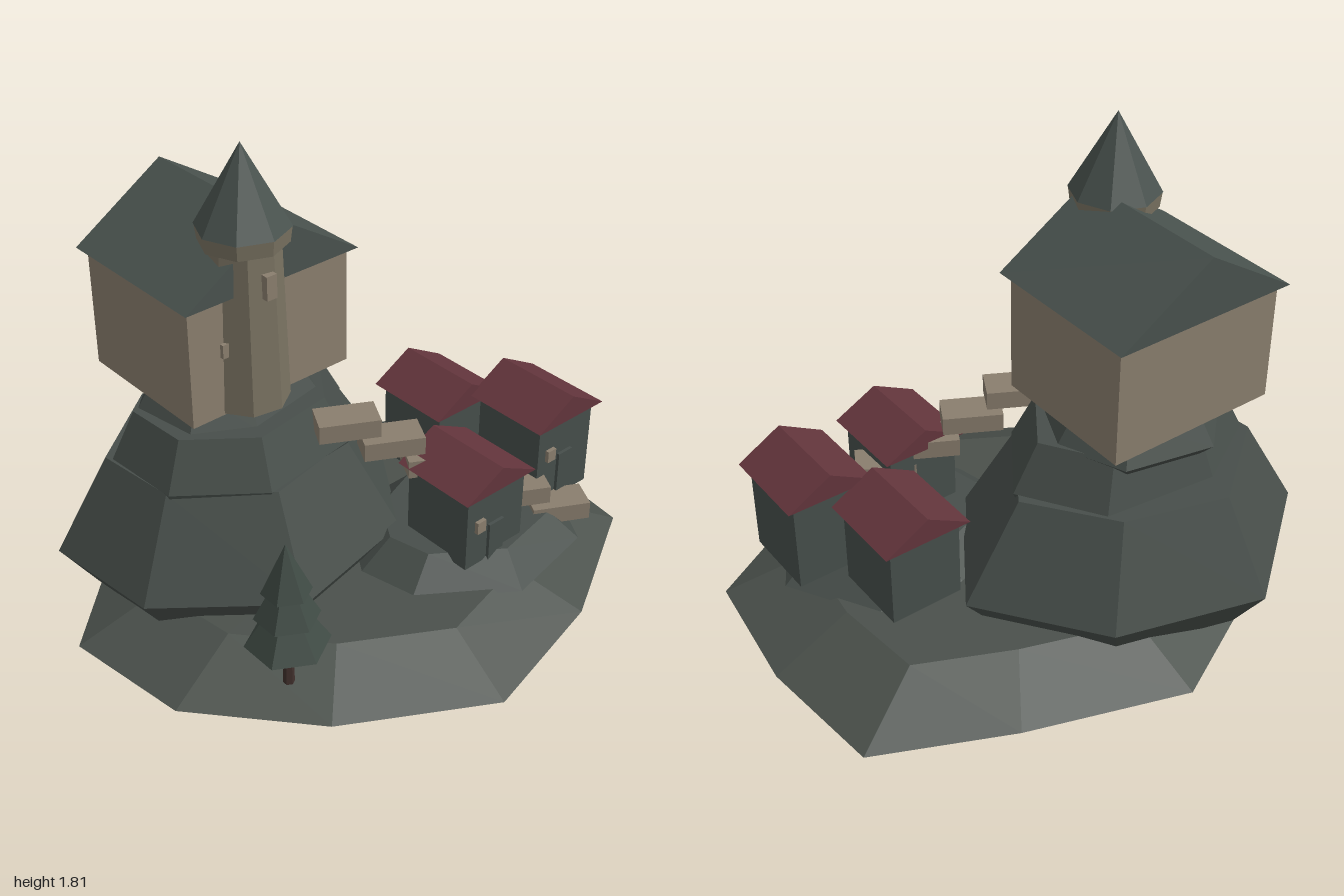
import * as THREE from 'three';

const mat = (name, color) => {
  const m = new THREE.MeshStandardMaterial({ color, flatShading: true });
  m.name = name;
  return m;
};

export function createModel() {
  const grass = mat('dark grass', 0x4a504b);
  const rock = mat('rock', 0x474e4a);
  const slate = mat('slate roof', 0x49524e);
  const stone = mat('pale stone', 0x8a7e6e);
  const towerStone = mat('tower stone', 0x7a7362);
  const red = mat('red roof', 0x63353c);
  const plaster = mat('dark plaster', 0x464e4b);
  const foliage = mat('foliage', 0x3f4a44);
  const bark = mat('bark', 0x40302c);

  const root = new THREE.Group();
  root.name = 'castleIsland';

  const add = (parent, name, geo, material, x = 0, y = 0, z = 0) => {
    const m = new THREE.Mesh(geo, material);
    m.name = name;
    m.position.set(x, y, z);
    parent.add(m);
    return m;
  };
  // box given by its limits
  const block = (parent, name, material, x0, x1, y0, y1, z0, z1) =>
    add(parent, name, new THREE.BoxGeometry(x1 - x0, y1 - y0, z1 - z0), material,
      (x0 + x1) / 2, (y0 + y1) / 2, (z0 + z1) / 2);

  // closed faceted solid: an outline repeated at [height, scale] about a centre
  const loft = (outline, cx, cz, levels) => {
    const rings = levels.map(([y, s]) =>
      outline.map(([x, z]) => [cx + (x - cx) * s, y, cz + (z - cz) * s]));
    const n = outline.length, pos = [];
    const tri = (...p) => p.forEach((v) => pos.push(...v));
    for (let i = 0; i < n; i++) {
      const j = (i + 1) % n;
      for (let k = 0; k + 1 < rings.length; k++) {
        const lo = rings[k], hi = rings[k + 1];
        tri(lo[i], hi[i], hi[j]);
        tri(lo[i], hi[j], lo[j]);
      }
      const top = rings[rings.length - 1];
      tri([cx, levels[levels.length - 1][0], cz], top[j], top[i]);
      tri([cx, levels[0][0], cz], rings[0][i], rings[0][j]);
    }
    const g = new THREE.BufferGeometry();
    g.setAttribute('position', new THREE.Float32BufferAttribute(pos, 3));
    g.computeVertexNormals();
    return g;
  };

  // gable roof with its ridge along z
  const gable = (parent, name, material, x0, x1, y0, y1, z0, z1) => {
    const s = new THREE.Shape();
    s.moveTo(x0, y0);
    s.lineTo(x1, y0);
    s.lineTo((x0 + x1) / 2, y1);
    s.closePath();
    const g = new THREE.ExtrudeGeometry(s, { depth: z1 - z0, bevelEnabled: false });
    return add(parent, name, g, material, 0, 0, z0);
  };

  // island
  const shore = [[1, 0], [0.94, 0.48], [0.44, 0.76], [-0.09, 0.89], [-0.59, 0.6], [-0.93, 0.21],
    [-1, -0.26], [-0.58, -0.66], [-0.09, -0.9], [0.48, -0.7], [0.95, -0.48]];
  add(root, 'island', loft(shore, 0, 0, [[0, 0.82], [0.06, 1], [0.195, 0.71]]), grass);

  // stacked crag under the keep
  const cliff = [[0.41, -0.29], [0.1, 0.17], [-0.43, 0.28], [-0.85, -0.06], [-0.9, -0.51],
    [-0.43, -0.87], [0.1, -0.71]];
  add(root, 'lowerCrag', loft(cliff, -0.3, -0.3, [[0.1, 0.8], [0.275, 1], [0.625, 0.69]]), rock);
  const middle = [[0.18, -0.25], [-0.02, 0.03], [-0.41, 0.09], [-0.68, -0.12], [-0.7, -0.42],
    [-0.42, -0.58], [0, -0.53]];
  add(root, 'middleCrag', loft(middle, -0.3, -0.28, [[0.5, 0.9], [0.625, 1], [0.8, 0.8]]), rock);
  const upper = [[0.04, -0.3], [-0.05, -0.1], [-0.36, -0.04], [-0.56, -0.15], [-0.6, -0.4],
    [-0.38, -0.61], [-0.06, -0.54]];
  add(root, 'upperCrag', loft(upper, -0.29, -0.32, [[0.74, 0.84], [0.79, 1], [0.92, 0.75]]), rock);

  // village terrace
  const terrace = [[0.81, 0.25], [0.62, 0.57], [0.25, 0.64], [-0.07, 0.42], [-0.12, 0.2],
    [0.02, -0.02], [0.3, -0.12], [0.62, -0.08]];
  add(root, 'terrace', loft(terrace, 0.35, 0.26, [[0.13, 0.82], [0.185, 1], [0.295, 0.72]]), rock);

  // keep
  const keep = new THREE.Group();
  keep.name = 'keep';
  root.add(keep);
  block(keep, 'keepWalls', stone, -0.61, 0.04, 0.9, 1.34, -0.6, -0.05);
  gable(keep, 'keepRoof', slate, -0.635, 0.065, 1.335, 1.557, -0.63, -0.02);

  // tower
  const tower = new THREE.Group();
  tower.name = 'tower';
  tower.position.set(-0.355, 0, -0.085);
  root.add(tower);
  add(tower, 'towerShaft', new THREE.CylinderGeometry(0.12, 0.137, 0.6, 8), towerStone, 0, 1.205, 0)
    .rotation.y = 0.22;
  add(tower, 'towerCollar', new THREE.CylinderGeometry(0.155, 0.148, 0.055, 8), towerStone, 0, 1.508, 0);
  add(tower, 'towerRoof', new THREE.ConeGeometry(0.157, 0.277, 8), slate, 0, 1.673, 0);
  block(tower, 'towerWindow', stone, -0.02, 0.02, 1.325, 1.41, 0.105, 0.138);
  block(tower, 'sideWindow', stone, -0.135, -0.11, 1.12, 1.17, 0.01, 0.05);

  // houses: centre x, z limits, floor, eave, ridge
  [
    [0.24, 0.185, 0.525, 0.27, 0.57, 0.655],
    [0.675, 0.1, 0.445, 0.275, 0.622, 0.715],
    [0.512, -0.235, 0.105, 0.27, 0.577, 0.67],
  ].forEach(([x, z0, z1, floor, eave, ridge]) => {
    const house = new THREE.Group();
    house.name = 'house';
    root.add(house);
    const front = z1 - 0.025;
    block(house, 'houseWalls', plaster, x - 0.136, x + 0.136, floor, eave + 0.005, z0 + 0.025, front);
    gable(house, 'houseRoof', red, x - 0.166, x + 0.166, eave, ridge, z0, z1);
    block(house, 'door', plaster, x - 0.035, x + 0.035, floor, eave - 0.15, front, front + 0.012);
    block(house, 'houseWindow', stone, x - 0.098, x - 0.058, eave - 0.157, eave - 0.11, front, front + 0.015);
  });

  // steps climbing from the terrace to the crag
  for (let i = 0; i < 6; i++) {
    const t = i / 5;
    add(root, 'step', new THREE.BoxGeometry(0.215, 0.068, 0.12), stone,
      -0.077 + 0.69 * t, 0.755 - 0.478 * t, 0.085 + 0.375 * t).rotation.y = -0.495;
  }

  // tree
  const tree = new THREE.Group();
  tree.name = 'tree';
  tree.position.set(-0.62, 0, 0.42);
  root.add(tree);
  add(tree, 'trunk', new THREE.CylinderGeometry(0.016, 0.02, 0.2, 6), bark, 0, 0.25, 0);
  [[0.143, 0.325, 0.55], [0.11, 0.435, 0.64], [0.084, 0.535, 0.72]].forEach(([r, y0, y1]) =>
    add(tree, 'branches', new THREE.ConeGeometry(r, y1 - y0, 6), foliage, 0, (y0 + y1) / 2, 0));

  return root;
}
